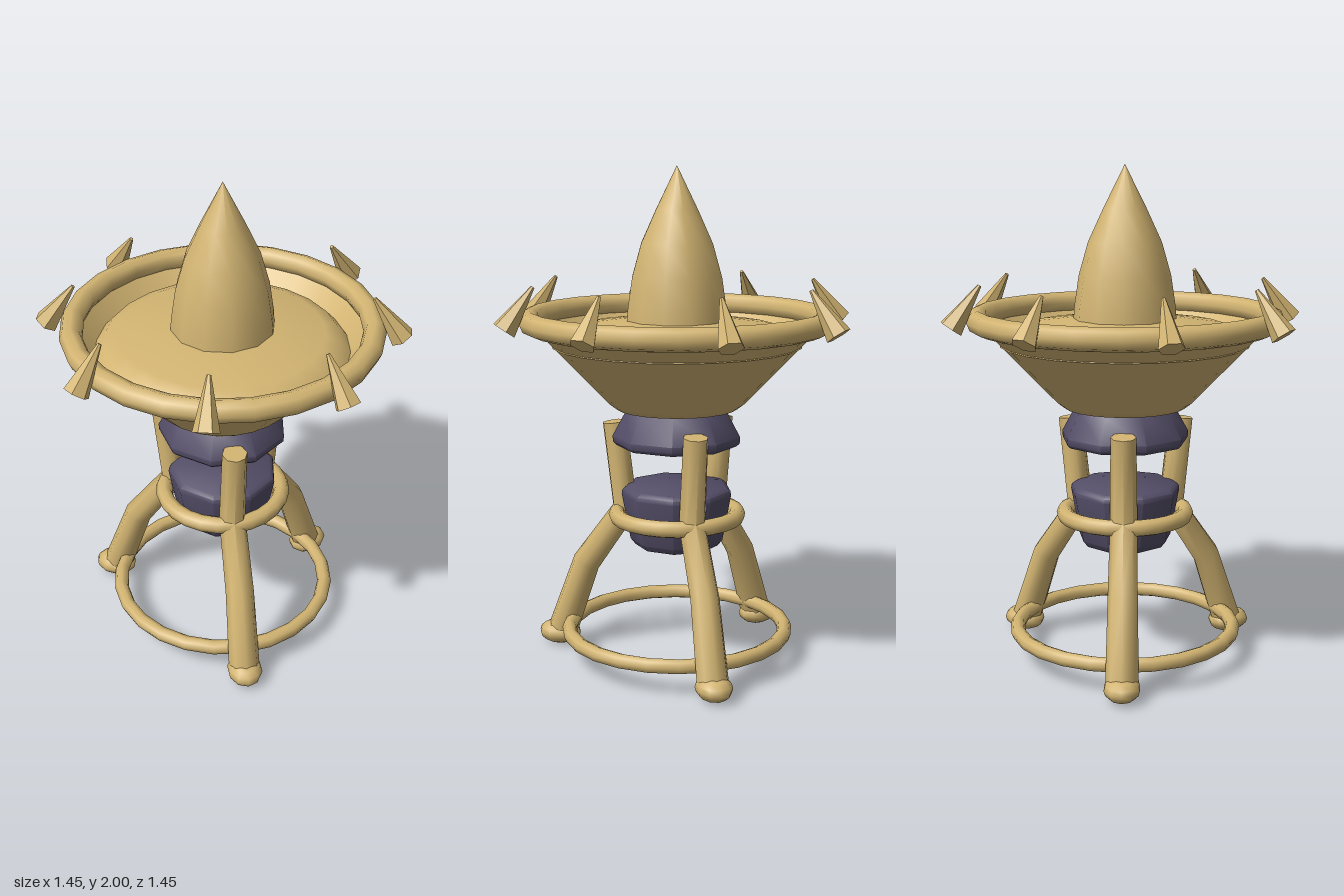
import * as THREE from 'three';
import { toCreasedNormals } from 'three/addons/utils/BufferGeometryUtils.js';

const tan = new THREE.MeshStandardMaterial({ color: 0xd2b472 });
tan.name = 'sandy tan';
const tanOpen = new THREE.MeshStandardMaterial({ color: 0xd2b472, side: THREE.DoubleSide });
tanOpen.name = 'sandy tan';
const dark = new THREE.MeshStandardMaterial({ color: 0x544e68 });
dark.name = 'dark violet grey';

function add(parent, name, geometry, material) {
  const mesh = new THREE.Mesh(geometry, material);
  mesh.name = name;
  parent.add(mesh);
  return mesh;
}

// Profile of [radius, height] points, outer side listed upwards
function lathe(points, segments, phase = 0) {
  return new THREE.LatheGeometry(points.map(([r, y]) => new THREE.Vector2(r, y)), segments, phase);
}

function ring(parent, name, radius, tube, y, segments) {
  const geometry = new THREE.TorusGeometry(radius, tube, 8, segments).rotateX(Math.PI / 2);
  add(parent, name, geometry, tan).position.y = y;
}

// Bent, tapered leg: rows of a cylinder are moved onto the path and tilted along it
function legGeometry(path, radii) {
  const rows = path.length - 1;
  const geometry = new THREE.CylinderGeometry(1, 1, 1, 8, rows);
  const points = path.map(([x, y]) => new THREE.Vector2(x, y));
  const pos = geometry.attributes.position;
  for (let i = 0; i < pos.count; i++) {
    const k = Math.round((0.5 - pos.getY(i)) * rows);
    const before = points[Math.max(k - 1, 0)];
    const after = points[Math.min(k + 1, rows)];
    const along = before.clone().sub(after).normalize();
    const u = pos.getX(i) * radii[k];
    pos.setXYZ(i, points[k].x + u * along.y, points[k].y - u * along.x, pos.getZ(i) * radii[k]);
  }
  return toCreasedNormals(geometry, 0.9);
}

export function createModel() {
  const model = new THREE.Group();
  model.name = 'dishTower';

  // Dish with a domed floor and a pointed spire
  add(model, 'dishBowl', lathe([[0, 1.04], [0.21, 1.04], [0.245, 1.047], [0.275, 1.07], [0.56, 1.37]], 24), tanOpen);
  add(model, 'dishFloor', lathe([[0.5, 1.3], [0.46, 1.345], [0.4, 1.372], [0.2, 1.4], [0, 1.41]], 24), tan);
  add(model, 'spire', lathe([[0.206, 1.37], [0.2, 1.45], [0.182, 1.57], [0.145, 1.7], [0.085, 1.83], [0, 2]], 12), tan);
  ring(model, 'dishRim', 0.585, 0.045, 1.4, 24);

  // Eight spikes leaning inwards around the rim
  for (let i = 0; i < 8; i++) {
    const arm = new THREE.Group();
    arm.name = 'rimSpike' + (i + 1);
    arm.rotation.y = (i * Math.PI) / 4;
    const geometry = new THREE.CylinderGeometry(0.008, 0.05, 0.2, 6);
    const spike = add(arm, 'spike', toCreasedNormals(geometry, 0.8), tan);
    spike.position.set(0.631, 1.462, 0);
    spike.rotation.z = 0.61;
    model.add(arm);
  }

  // Nine-sided collar under the dish and pod held between the legs
  const collar = [[0, 0.897], [0.245, 0.897], [0.258, 0.91], [0.26, 0.935], [0.205, 1.035], [0.19, 1.05], [0, 1.05]];
  const pod = [[0, 0.48], [0.17, 0.48], [0.19, 0.505], [0.225, 0.695], [0.222, 0.712], [0.205, 0.726], [0, 0.726]];
  add(model, 'collar', toCreasedNormals(lathe(collar, 9, -Math.PI / 2), 0.75), dark);
  add(model, 'pod', toCreasedNormals(lathe(pod, 9, -Math.PI / 2), 0.75), dark);

  // Three legs with flattened round feet
  const legShape = legGeometry([[0.262, 0.975], [0.218, 0.615], [0.39, 0.37], [0.5, 0.06]], [0.05, 0.054, 0.058, 0.064]);
  for (let i = 0; i < 3; i++) {
    const side = new THREE.Group();
    side.name = 'legAssembly' + (i + 1);
    side.rotation.y = (i * Math.PI * 2) / 3;
    add(side, 'leg', legShape, tan);
    const foot = add(side, 'foot', new THREE.SphereGeometry(1, 10, 8), tan);
    foot.scale.set(0.09, 0.05, 0.072);
    foot.position.set(0.51, 0.055, 0);
    model.add(side);
  }

  // Bracing rings
  ring(model, 'upperBraceRing', 0.245, 0.034, 0.605, 24);
  ring(model, 'lowerBraceRing', 0.445, 0.03, 0.12, 24);
  return model;
}
